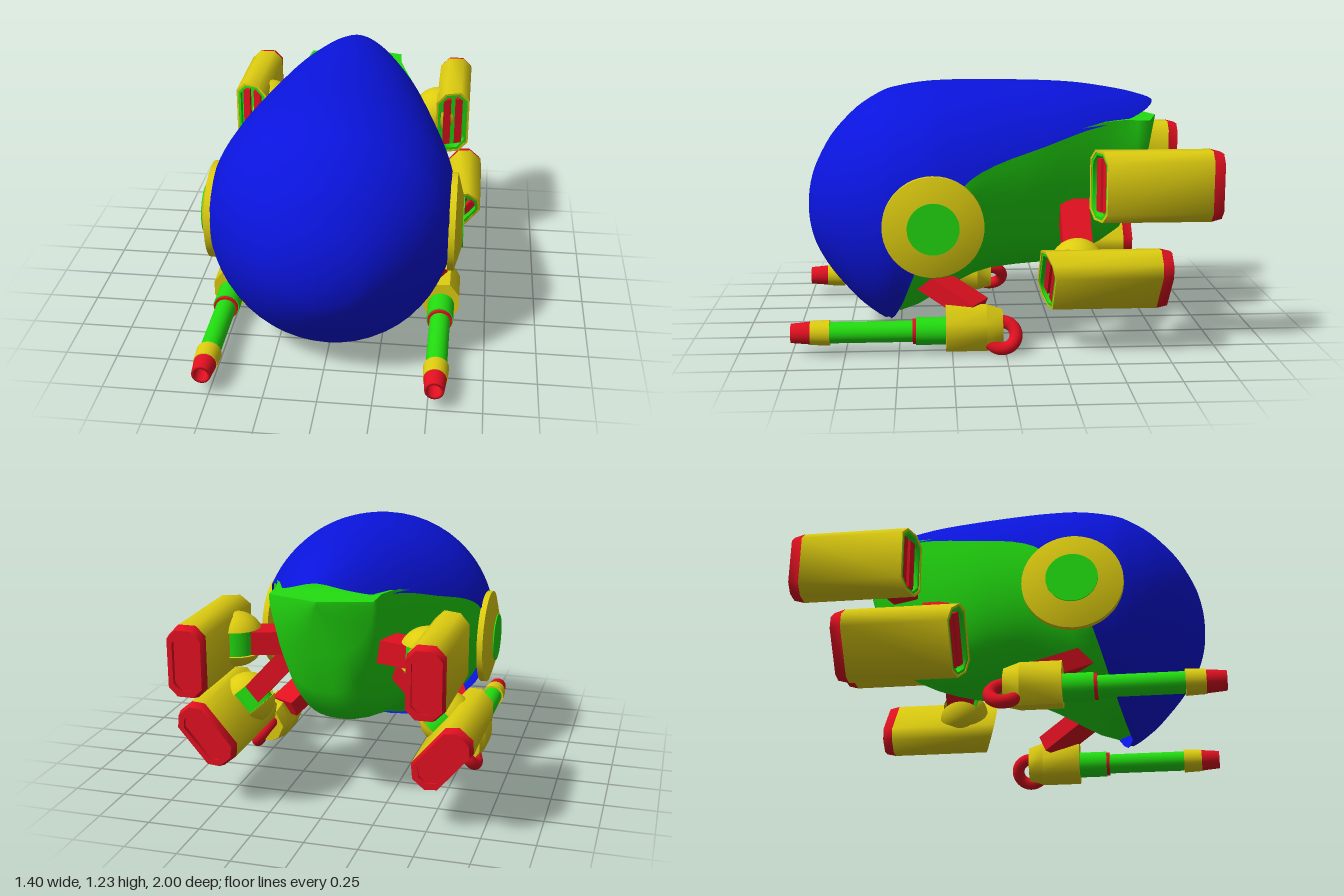
import * as THREE from 'three';
import { toCreasedNormals } from 'three/addons/utils/BufferGeometryUtils.js';

const mat = color => new THREE.MeshStandardMaterial({ color, side: THREE.DoubleSide });
const blue = mat(0x0a14dc), green = mat(0x22dd10), yellow = mat(0xddcc10), red = mat(0xe01020);

function add(parent, name, geometry, material, x = 0, y = 0, z = 0) {
  const m = new THREE.Mesh(geometry, material);
  m.name = name;
  m.position.set(x, y, z);
  parent.add(m);
  return m;
}

// Skin over equal-length rows of [x, y, z] points, running front to back
function loft(rows) {
  const n = rows[0].length, index = [];
  for (let i = 0; i < rows.length - 1; i++)
    for (let j = 0; j < n - 1; j++) {
      const a = i * n + j, b = a + n;
      index.push(a, a + 1, b, a + 1, b + 1, b);
    }
  const g = new THREE.BufferGeometry();
  g.setAttribute('position', new THREE.Float32BufferAttribute(rows.flat(2), 3));
  g.setIndex(index);
  g.computeVertexNormals();
  return g;
}

// Smooth in-between stations of a table with six columns
function refine(table, steps) {
  const curve = c => new THREE.CatmullRomCurve3(
    table.map(r => new THREE.Vector3(r[c], r[c + 1], r[c + 2])), false, 'catmullrom');
  const a = curve(0), b = curve(3), out = [], n = (table.length - 1) * steps;
  for (let i = 0; i <= n; i++) out.push([...a.getPoint(i / n).toArray(), ...b.getPoint(i / n).toArray()]);
  return out;
}

// Shell stations: z, half width, rim height, top, middle, bottom
const shellTable = [
  [0.95, 0, 0.62, 0.62, 0.62, 0.62], [0.945, 0.075, 0.545, 0.695, 0.62, 0.545],
  [0.93, 0.15, 0.475, 0.77, 0.625, 0.475], [0.9, 0.235, 0.4, 0.85, 0.63, 0.4],
  [0.835, 0.335, 0.295, 0.967, 0.64, 0.295], [0.755, 0.423, 0.2, 1.06, 0.645, 0.2],
  [0.675, 0.49, 0.12, 1.13, 0.645, 0.12], [0.57, 0.553, 0.048, 1.19, 0.645, 0.048],
  [0.5, 0.575, 0.17, 1.21, 0.645, 0.045], [0.42, 0.59, 0.4, 1.225, 0.645, 0.045],
  [0.33, 0.597, 0.62, 1.235, 0.645, 0.045], [0.2, 0.582, 0.8, 1.24, 0.645, 0.045],
  [0.05, 0.555, 0.89, 1.24, 0.645, 0.045], [-0.2, 0.49, 0.965, 1.235, 0.645, 0.045],
  [-0.4, 0.43, 1.025, 1.222, 0.645, 0.045], [-0.6, 0.345, 1.06, 1.19, 0.645, 0.045],
  [-0.7, 0.285, 1.095, 1.165, 0.645, 0.045], [-0.745, 0.235, 1.12, 1.15, 0.645, 0.045],
  [-0.765, 0.2, 1.138, 1.138, 0.645, 0.045],
];

function shellGeometry() {
  return loft(refine(shellTable, 3).map(([z, w, rim, top, mid, low]) => {
    const reach = Math.max(rim > mid ? top - mid : mid - low, 1e-4);
    const end = Math.acos(THREE.MathUtils.clamp((rim - mid) / reach, -1, 1)), row = [];
    for (let j = 0; j <= 48; j++) {
      const t = end * (j / 24 - 1), k = Math.cos(t);
      row.push([Math.max(w, 0) * Math.sin(t), mid + k * (k > 0 ? top - mid : mid - low), z]);
    }
    return row;
  }));
}

// Hull stations: z, half width, deck height, keel height
const hullTable = [
  [0.6, 0.45, 0.62, 0.12], [0.5, 0.53, 0.62, 0.085], [0.41, 0.555, 0.63, 0.12], [0.33, 0.565, 0.64, 0.17],
  [0.2, 0.545, 0.82, 0.245], [0.13, 0.525, 0.87, 0.28], [0.05, 0.49, 0.91, 0.305],
  [-0.08, 0.445, 0.95, 0.32], [-0.2, 0.4, 0.985, 0.325], [-0.3, 0.355, 1.015, 0.345],
  [-0.4, 0.315, 1.04, 0.375], [-0.5, 0.275, 1.06, 0.42], [-0.6, 0.247, 1.065, 0.49],
  [-0.66, 0.245, 1.062, 0.6], [-0.715, 0.24, 1.06, 0.8], [-0.785, 0, 1.06, 1.05],
];

function hullGeometry() {
  return loft(hullTable.map(([z, w, deck, keel]) => {
    // Round in front, with fuller sides towards the back
    const p = THREE.MathUtils.clamp(0.75 + z * 0.8, 0.75, 1), row = [];
    for (let j = 0; j <= 32; j++) {
      const s = Math.PI * j / 32, c = Math.cos(s);
      row.push([w * Math.sign(c) * Math.abs(c) ** p, deck - (deck - keel) * Math.sin(s), z]);
    }
    return [...row, [-w, deck, z], [-w, deck, z], [w, deck, z]];
  }));
}

// Octagonal outline with cut corners
function octagon(w, h, c, Type = THREE.Shape) {
  const x = w / 2, y = h / 2;
  return new Type([[x, c - y], [x, y - c], [x - c, y], [c - x, y], [-x, y - c], [-x, c - y], [c - x, -y], [x - c, -y]]
    .map(p => new THREE.Vector2(...p)));
}

// Extrusion from z = near back to z = far, with the far end scaled
function prism(shape, near, far, hole, endScale = 1) {
  if (hole) shape.holes.push(hole);
  const g = new THREE.ExtrudeGeometry(shape, { depth: near - far, bevelEnabled: false });
  g.translate(0, 0, far);
  const p = g.attributes.position;
  for (let i = 0; i < p.count; i++)
    if (p.getZ(i) < far + 1e-4) p.setXY(i, p.getX(i) * endScale, p.getY(i) * endScale);
  return toCreasedNormals(g, 0.9);
}

// Slants the front of a pod part so that it faces a little outward
function slant(g) {
  const p = g.attributes.position;
  for (let i = 0; i < p.count; i++)
    if (p.getZ(i) > -0.3) p.setZ(i, p.getZ(i) - 0.35 * (p.getX(i) + 0.085));
  return toCreasedNormals(g, 0.9);
}

function makePod(name) {
  const pod = new THREE.Group();
  pod.name = name;
  add(pod, 'podCasing', slant(prism(octagon(0.17, 0.33, 0.045), 0, -0.55, octagon(0.15, 0.31, 0.042, THREE.Path))), yellow);
  add(pod, 'podLiner', slant(prism(octagon(0.15, 0.31, 0.042), -0.003, -0.06, octagon(0.125, 0.285, 0.036, THREE.Path))), green);
  add(pod, 'podBackPlate', slant(prism(octagon(0.15, 0.31, 0.042), -0.05, -0.07)), green);
  for (const x of [-0.03, 0.03])
    add(pod, 'podSlat', slant(new THREE.BoxGeometry(0.038, 0.25, 0.04).translate(x, 0, -0.035)), red);
  add(pod, 'podEndRim', prism(octagon(0.17, 0.33, 0.045), -0.55, -0.6, octagon(0.12, 0.27, 0.035, THREE.Path), 0.92), red);
  add(pod, 'podEndPlate', prism(octagon(0.14, 0.3, 0.04), -0.54, -0.575), red);
  // Swivel on the inner face: two domes and a front cover around a hinge core
  const r = 0.13, cut = 1.1;
  const dome = (...angles) => new THREE.SphereGeometry(r, 28, 12, ...angles);
  const disc = new THREE.CircleGeometry(r * Math.sin(cut), 28).rotateX(Math.PI / 2);
  for (const [s, start] of [[1, 0], [-1, Math.PI - cut]]) {
    add(pod, 'podDome', dome(0, Math.PI * 2, start, cut), yellow, -0.08, 0, -0.18);
    add(pod, 'podDomeFace', disc, yellow, -0.08, s * r * Math.cos(cut), -0.18);
  }
  add(pod, 'podDomeCover', dome(0.8, Math.PI - 0.8, cut, Math.PI - 2 * cut), yellow, -0.08, 0, -0.18);
  add(pod, 'podHinge', new THREE.CylinderGeometry(0.1, 0.1, 0.12, 28), green, -0.08, 0, -0.18);
  return pod;
}

// Box beam between two points
function strut(parent, name, from, to, w, h) {
  const a = new THREE.Vector3(...from), b = new THREE.Vector3(...to);
  const m = add(parent, name, new THREE.BoxGeometry(w, h, a.distanceTo(b)), red);
  m.position.copy(a).lerp(b, 0.5);
  m.lookAt(b);
}

function makeGun() {
  const gun = new THREE.Group();
  gun.name = 'gun';
  // Barrel pieces: name, material, back z, front z, back radius, front radius
  const pieces = [
    ['breech', green, 0.26, 0.42, 0.065, 0.065], ['barrelRing', red, 0.41, 0.435, 0.06, 0.06],
    ['barrel', green, 0.43, 0.83, 0.05, 0.05], ['barrelCollar', yellow, 0.82, 0.91, 0.06, 0.056],
  ];
  for (const [name, m, z0, z1, r0, r1] of pieces)
    add(gun, name, new THREE.CylinderGeometry(r1, r0, z1 - z0, 28).rotateX(Math.PI / 2), m, 0, 0, (z0 + z1) / 2);
  // Hollow muzzle
  const muzzle = [[0.054, 0.9], [0.045, 1], [0.032, 1], [0.032, 0.93], [0, 0.93]].map(p => new THREE.Vector2(...p));
  add(gun, 'muzzle', new THREE.LatheGeometry(muzzle, 28).rotateX(Math.PI / 2), red);
  // Angular housing, narrowing to the rear
  const outline = [[-0.1, 0.015], [-0.065, -0.065], [-0.02, -0.09], [0.04, -0.09], [0.088, -0.02], [0.088, 0.055], [0.04, 0.118], [-0.05, 0.112]];
  const shape = () => new THREE.Shape(outline.map(p => new THREE.Vector2(...p)));
  add(gun, 'gunHousing', prism(shape(), 0.28, 0.09), yellow);
  add(gun, 'gunHousingRear', prism(shape(), 0.09, 0.015, null, 0.8), yellow);
  // Curled hook behind the housing
  const r = 0.066, tube = 0.031, start = THREE.MathUtils.degToRad(-150), arc = THREE.MathUtils.degToRad(250);
  const place = g => g.rotateY(Math.PI / 2).rotateZ(0.6).translate(0.02, -0.02, 0.018);
  add(gun, 'hook', place(new THREE.TorusGeometry(r, tube, 14, 32, arc).rotateZ(start)), red);
  for (const t of [start, start + arc])
    add(gun, 'hookEnd', place(new THREE.SphereGeometry(tube, 14, 10).translate(r * Math.cos(t), r * Math.sin(t), 0)), red);
  gun.position.set(0.53, 0.115, 0);
  return gun;
}

function makeSide(name) {
  const side = new THREE.Group();
  side.name = name;
  // Round shoulder plate
  const plate = [[0, 0.555], [0.235, 0.555], [0.235, 0.555], [0.235, 0.585], [0.235, 0.585], [0.12, 0.618], [0, 0.618]];
  const plateShape = new THREE.LatheGeometry(plate.map(p => new THREE.Vector2(...p)), 48).rotateZ(-Math.PI / 2);
  add(side, 'sidePlate', plateShape, yellow, 0, 0.62, 0.335);
  add(side, 'sidePlateHub', new THREE.CylinderGeometry(0.12, 0.12, 0.03, 40).rotateZ(-Math.PI / 2), green, 0.608, 0.62, 0.335);
  // Gun and its arm
  side.add(makeGun());
  strut(side, 'gunArm', [0.34, 0.335, 0.38], [0.48, 0.2, 0.13], 0.15, 0.09);
  // Upright upper pod, tilted lower pod
  const upper = makePod('upperPod'), lower = makePod('lowerPod');
  upper.position.set(0.535, 0.795, -0.4);
  lower.position.set(0.56, 0.36, -0.16);
  lower.rotation.z = -0.7;
  side.add(upper, lower);
  strut(side, 'upperPodArm', [0.2, 0.79, -0.5], [0.42, 0.79, -0.57], 0.14, 0.11);
  strut(side, 'lowerPodArm', [0.27, 0.66, -0.345], [0.48, 0.43, -0.345], 0.14, 0.1);
  return side;
}

export function createModel() {
  const model = new THREE.Group();
  model.name = 'walker';
  add(model, 'shell', shellGeometry(), blue);
  add(model, 'hull', hullGeometry(), green);
  const right = makeSide('rightSide');
  right.scale.x = -1;
  model.add(makeSide('leftSide'), right);
  return model;
}
